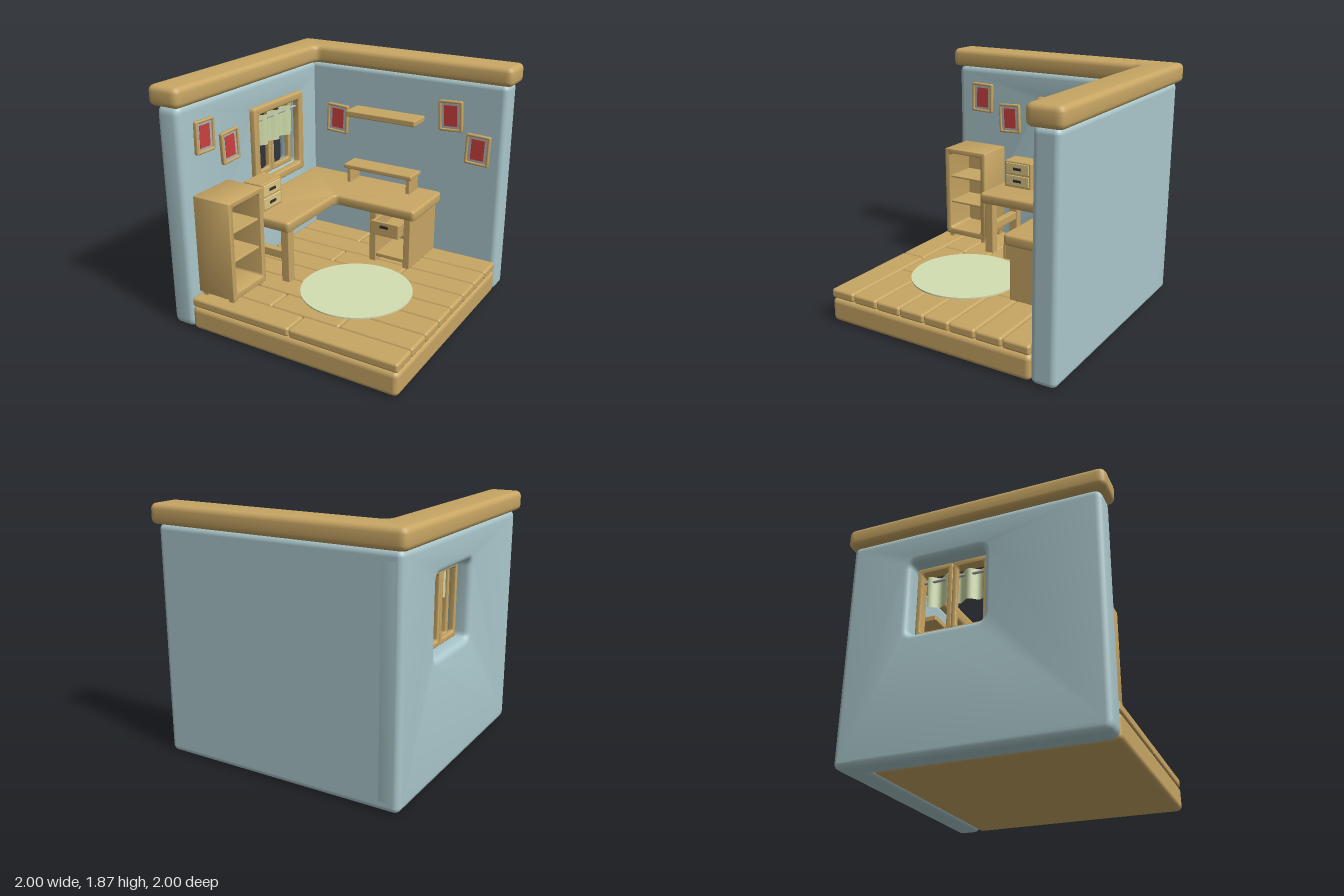
import * as THREE from 'three';
import { toCreasedNormals } from 'three/addons/utils/BufferGeometryUtils.js';
import { RoundedBoxGeometry } from 'three/addons/geometries/RoundedBoxGeometry.js';

const mat = (color, side = THREE.FrontSide) => new THREE.MeshStandardMaterial({ color, side });
const WOOD = mat(0xc8a664), WALL = mat(0xaac7cb), RUG = mat(0xd4deb2), CREAM = mat(0xdcc784);
const RED = mat(0xcc4040), GREY = mat(0xb0b0b0), DARK = mat(0x2b2b2b);
const CLOTH = mat(0xcbd8a8, THREE.DoubleSide);

function add(parent, name, geometry, material) {
  const mesh = new THREE.Mesh(geometry, material);
  mesh.name = name;
  parent.add(mesh);
  return mesh;
}

// Soft-edged box given by its limits on each axis
function box(parent, name, [x0, x1], [y0, y1], [z0, z1], material = WOOD, r = 0.006) {
  const m = add(parent, name, new RoundedBoxGeometry(x1 - x0, y1 - y0, z1 - z0, 3, r), material);
  m.position.set((x0 + x1) / 2, (y0 + y1) / 2, (z0 + z1) / 2);
  return m;
}

// Polygon with rounded corners
function trace(path, pts, r) {
  const v = pts.map(p => new THREE.Vector2(...p));
  v.forEach((p, i) => {
    const a = v[(i + v.length - 1) % v.length], b = v[(i + 1) % v.length];
    const start = p.clone().add(a.clone().sub(p).setLength(r));
    const end = p.clone().add(b.clone().sub(p).setLength(r));
    if (i === 0) path.moveTo(start.x, start.y); else path.lineTo(start.x, start.y);
    path.quadraticCurveTo(p.x, p.y, end.x, end.y);
  });
  path.closePath();
  return path;
}
const rect = (x0, x1, y0, y1) => [[x0, y0], [x1, y0], [x1, y1], [x0, y1]];

// Bevelled slab from z = 0 to depth, with an optional rounded hole
function slab(pts, depth, bevel, r, hole, holeR = 0.03) {
  const shape = trace(new THREE.Shape(), pts, r);
  if (hole) shape.holes.push(trace(new THREE.Path(), hole, holeR));
  const g = new THREE.ExtrudeGeometry(shape, {
    depth: depth - 2 * bevel, bevelThickness: bevel, bevelSize: bevel,
    bevelOffset: -bevel, bevelSegments: 4, curveSegments: 6,
  });
  g.translate(0, 0, bevel);
  return toCreasedNormals(g, 0.7);
}
// Slab in the (-z, y) plane, running along +x from x0
const sideSlab = (x0, ...args) => slab(...args).rotateY(Math.PI / 2).translate(x0, 0, 0);
// Slab in the (x, -z) plane, running up from y0
const flatSlab = (y0, ...args) => slab(...args).rotateX(-Math.PI / 2).translate(0, y0, 0);

function buildRoom(room) {
  add(room, 'windowWall', sideSlab(-0.96, rect(-0.96, 0.96, 0, 1.73), 0.19, 0.045, 0.07,
    rect(-0.11, 0.465, 0.905, 1.485), 0.05), WALL);
  box(room, 'backWall', [-0.96, 0.96], [0, 1.73], [-0.96, -0.765], WALL, 0.045);
  const cap = [[-1, -1], [-0.73, -1], [-0.73, 0.73], [1, 0.73], [1, 1], [-1, 1]];
  add(room, 'wallCap', flatSlab(1.725, cap, 0.147, 0.04, 0.06), WOOD);
  box(room, 'base', [-0.775, 0.96], [0.005, 0.195], [-0.77, 0.96], WOOD, 0.04);

  // Floorboards: rows of two and three alternate
  for (let row = 0; row < 8; row++) {
    const n = row % 2 ? 3 : 2, w = 1.73 / n, z = 0.96 - row * 0.2155;
    for (let i = 0; i < n; i++) {
      const x = -0.77 + i * w;
      box(room, 'floorboard', [x + 0.002, x + w - 0.002], [0.195, 0.267], [z - 0.213, z - 0.003], WOOD, 0.02);
    }
  }
  const rug = add(room, 'rug', new THREE.CylinderGeometry(0.427, 0.427, 0.012, 64), RUG);
  rug.position.set(0.228, 0.272, 0.228);
}

function buildWindow(win) {
  add(win, 'windowTrim', sideSlab(-0.79, rect(-0.16, 0.515, 0.855, 1.53), 0.065, 0.012, 0.025,
    rect(-0.095, 0.45, 0.92, 1.47)), WOOD);
  for (const u of [-0.1, 0.178])
    add(win, 'sash', sideSlab(-0.86, rect(u, u + 0.277, 0.915, 1.475), 0.04, 0.006, 0.012,
      rect(u + 0.036, u + 0.241, 0.955, 1.435), 0.025), WOOD);
  const rod = add(win, 'curtainRod', new THREE.CylinderGeometry(0.01, 0.01, 0.56, 16), GREY);
  rod.rotation.x = Math.PI / 2;
  rod.position.set(-0.765, 1.41, -0.178);
  // Curtain folds weave in front of and behind the rod
  const cloth = new THREE.PlaneGeometry(0.485, 0.25, 72, 1).rotateY(Math.PI / 2);
  const p = cloth.attributes.position;
  for (let i = 0; i < p.count; i++)
    p.setX(i, -0.022 * Math.cos((p.getZ(i) - 0.2375) * Math.PI * 2 / 0.158));
  cloth.computeVertexNormals();
  add(win, 'curtain', cloth, CLOTH).position.set(-0.762, 1.325, -0.1725);
}

function buildDesk(desk) {
  const top = [[-0.77, -0.42], [-0.25, -0.42], [-0.25, 0.25], [0.46, 0.25], [0.46, 0.76], [-0.77, 0.76]];
  add(desk, 'deskTop', flatSlab(0.698, top, 0.087, 0.02, 0.035), WOOD);
  for (const x of [-0.74, -0.35])
    box(desk, 'deskLeg', [x, x + 0.07], [0.265, 0.71], [0.308, 0.385]);
  box(desk, 'legRail', [-0.68, -0.34], [0.448, 0.515], [0.318, 0.375]);

  // Drawer pedestal
  for (const x of [0.052, 0.357])
    box(desk, 'pedestalSide', [x, x + 0.057], [0.265, 0.71], [-0.757, -0.285]);
  box(desk, 'pedestalShelf', [0.1, 0.365], [0.305, 0.337], [-0.75, -0.295]);
  box(desk, 'drawerSupport', [0.1, 0.365], [0.515, 0.547], [-0.75, -0.295]);

  // Half-open drawer
  const drawer = new THREE.Group();
  drawer.name = 'deskDrawer';
  desk.add(drawer);
  box(drawer, 'drawerFront', [0.111, 0.356], [0.548, 0.667], [-0.215, -0.192]);
  box(drawer, 'drawerBack', [0.115, 0.352], [0.55, 0.66], [-0.62, -0.6]);
  box(drawer, 'drawerBottom', [0.115, 0.352], [0.55, 0.565], [-0.61, -0.2]);
  for (const x of [0.113, 0.336])
    box(drawer, 'drawerSide', [x, x + 0.018], [0.55, 0.66], [-0.61, -0.2]);
  box(drawer, 'drawerHandle', [0.197, 0.27], [0.619, 0.641], [-0.195, -0.178], DARK);

  // Raised shelf standing on the desk
  box(desk, 'riserTop', [-0.35, 0.28], [0.908, 0.945], [-0.73, -0.547], WOOD, 0.01);
  for (const x of [-0.327, 0.226])
    box(desk, 'riserLeg', [x, x + 0.034], [0.775, 0.915], [-0.725, -0.565]);

  // Small two-drawer chest
  box(desk, 'chest', [-0.71, -0.535], [0.78, 1.01], [0.095, 0.35], WOOD, 0.01);
  for (const y of [0.797, 0.902]) {
    box(desk, 'chestDrawer', [-0.56, -0.529], [y, y + 0.093], [0.112, 0.333], CREAM);
    box(desk, 'chestHandle', [-0.535, -0.522], [y + 0.034, y + 0.057], [0.185, 0.263], DARK);
  }
}

function buildBookcase(bookcase) {
  add(bookcase, 'bookcaseShell', sideSlab(-0.75, rect(-0.885, -0.482, 0.295, 1.065), 0.322, 0.006, 0.012,
    rect(-0.84, -0.527, 0.345, 1.025), 0.025), WOOD);
  box(bookcase, 'bookcaseBack', [-0.748, -0.725], [0.32, 1.045], [0.5, 0.865]);
  for (const y of [0.577, 0.805])
    box(bookcase, 'bookcaseShelf', [-0.74, -0.45], [y, y + 0.018], [0.515, 0.85]);
  for (const x of [-0.735, -0.495]) for (const z of [0.495, 0.82])
    box(bookcase, 'bookcaseFoot', [x, x + 0.05], [0.26, 0.3], [z, z + 0.045]);
}

// Tilted picture, built facing +z with its back at z = 0
function picture(parent, x, y, z, tilt, turn = 0) {
  const g = new THREE.Group();
  g.name = 'picture';
  add(g, 'pictureFrame', slab(rect(-0.1, 0.1, -0.124, 0.124), 0.032, 0.006, 0.014,
    rect(-0.08, 0.08, -0.104, 0.104), 0.006), WOOD);
  add(g, 'pictureMount', new THREE.BoxGeometry(0.17, 0.218, 0.016), GREY).position.z = 0.01;
  add(g, 'pictureSheet', new THREE.BoxGeometry(0.11, 0.168, 0.006), RED).position.z = 0.018;
  g.position.set(x, y, z);
  g.rotation.set(0, turn, tilt);
  parent.add(g);
}

export function createModel() {
  const model = new THREE.Group();
  model.name = 'studyRoom';
  const parts = { room: buildRoom, window: buildWindow, desk: buildDesk, bookcase: buildBookcase };
  for (const [name, build] of Object.entries(parts)) {
    const g = new THREE.Group();
    g.name = name;
    build(g);
    model.add(g);
  }
  box(model, 'wallShelf', [-0.35, 0.28], [1.35, 1.4], [-0.775, -0.577], WOOD, 0.01);

  // Pictures on both walls
  picture(model, -0.527, 1.265, -0.767, -0.05);
  picture(model, 0.513, 1.438, -0.767, 0.05);
  picture(model, 0.752, 1.195, -0.767, -0.04);
  picture(model, -0.772, 1.468, 0.708, -0.02, Math.PI / 2);
  picture(model, -0.772, 1.315, 0.432, 0.05, Math.PI / 2);
  return model;
}
